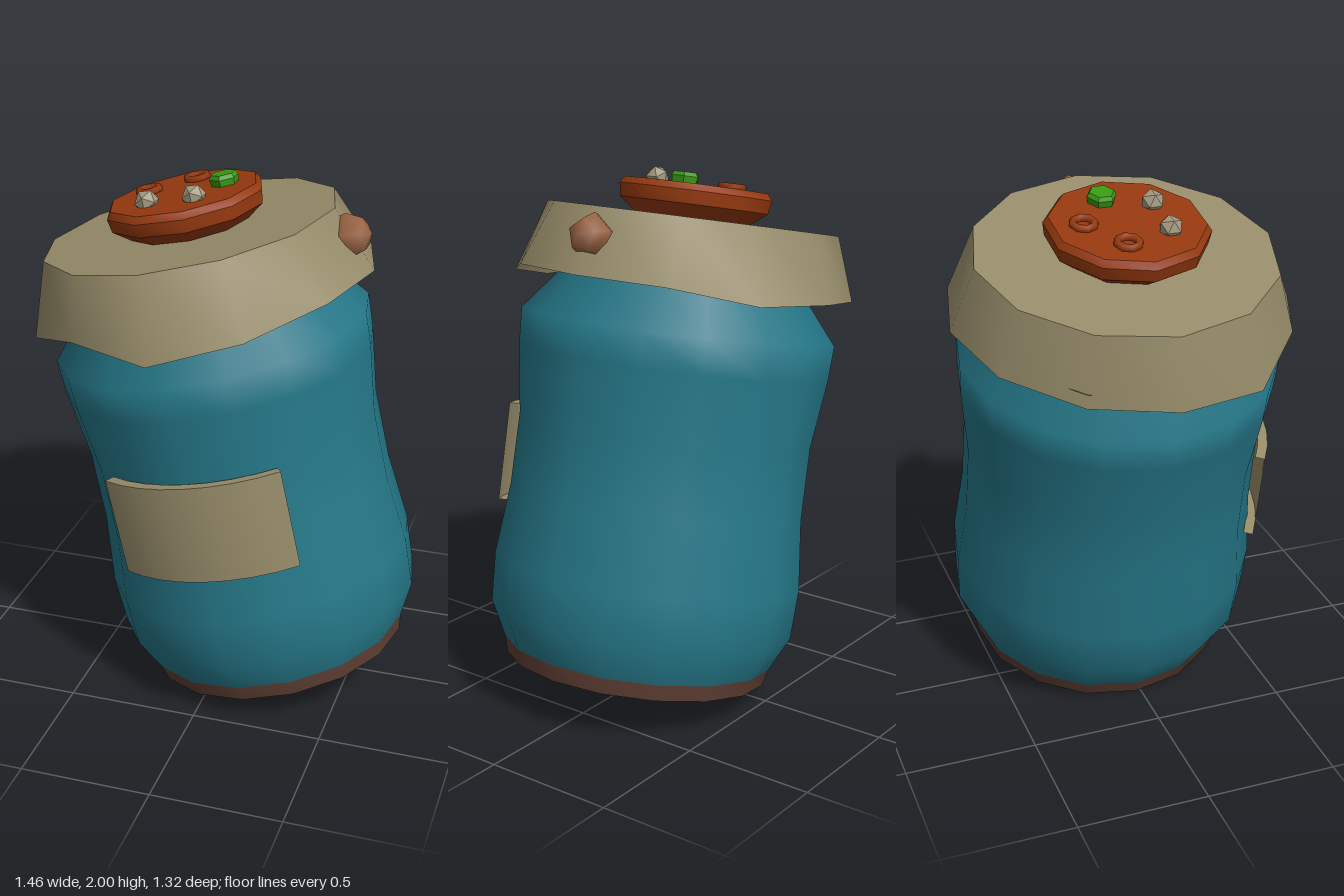
import * as THREE from 'three';
import { toCreasedNormals } from 'three/addons/utils/BufferGeometryUtils.js';

const mat = (name, color, side = THREE.FrontSide) => {
  const m = new THREE.MeshStandardMaterial({ color, side });
  m.name = name;
  return m;
};

// Lathe from [radius, height] pairs, listed bottom to top
const lathe = (pts, sides, start = 0, length = Math.PI * 2) =>
  new THREE.LatheGeometry(pts.map(([r, y]) => new THREE.Vector2(r, y)), sides, start, length);

export function createModel() {
  const teal = mat('teal glaze', 0x257788);
  const tan = mat('tan', 0x978c6a, THREE.DoubleSide);
  const brown = mat('dark brown', 0x5f3f34, THREE.DoubleSide);
  const rust = mat('rust orange', 0x96390f);
  const green = mat('green', 0x3a9a14);
  const stone = mat('pale stone', 0xa2987e);
  const copper = mat('copper brown', 0x9c6546);

  const model = new THREE.Group();
  model.name = 'tiltedJar';
  // Everything is built upright, then leans as one
  const jar = new THREE.Group();
  jar.name = 'jar';
  jar.position.set(0.195, 0.105, -0.02);
  jar.rotation.z = THREE.MathUtils.degToRad(12);
  model.add(jar);

  const add = (name, geometry, material, x = 0, y = 0, z = 0) => {
    const mesh = new THREE.Mesh(geometry, material);
    mesh.name = name;
    mesh.position.set(x, y, z);
    jar.add(mesh);
    return mesh;
  };

  // Pot: foot and waisted body
  add('base', toCreasedNormals(lathe([[0, 0], [0.505, 0], [0.522, 0.065]], 16), 0.7), brown);
  add('body', lathe([[0.52, 0.06], [0.588, 0.2], [0.596, 0.388], [0.567, 0.66], [0.564, 0.935],
    [0.596, 1.2], [0.602, 1.33], [0.472, 1.488], [0.46, 1.62]], 16), teal);

  // Curved label plate on the front
  const arc = 0.595;
  add('label', toCreasedNormals(lathe([[0.57, 0.572], [0.608, 0.572], [0.608, 0.95], [0.57, 0.95]],
    8, -arc, arc * 2), 0.7), tan);

  // Lid with an uneven lower rim, starting at the front and going round by its left
  const rimRadius = [0.675, 0.65, 0.66, 0.66, 0.66, 0.65, 0.64, 0.64, 0.62, 0.636, 0.653, 0.63];
  const rimHeight = [1.445, 1.46, 1.495, 1.49, 1.49, 1.46, 1.488, 1.5, 1.48, 1.48, 1.464, 1.512];
  const lid = lathe([[0.65, 1.48], [0.557, 1.737], [0, 1.737]], 12);
  for (let i = 0; i <= 12; i++) {
    const a = i * Math.PI / 6, r = rimRadius[i % 12];
    lid.attributes.position.setXYZ(i * 3, Math.sin(a) * r, rimHeight[i % 12], Math.cos(a) * r);
  }
  add('lid', toCreasedNormals(lid, 0.7), tan);
  add('lidUnderside', lathe([[0.45, 1.56], [0.61, 1.53]], 12), brown);

  // Knob on the side of the lid
  const knob = add('lidKnob', new THREE.SphereGeometry(0.085, 5, 4), copper, 0.59, 1.63, 0);
  knob.rotation.set(0, 0, -Math.PI / 2);

  // Round seal on top
  add('seal', toCreasedNormals(lathe([[0.22, 1.73], [0.292, 1.785], [0.3, 1.835],
    [0.282, 1.86], [0, 1.86]], 10).rotateY(Math.PI / 10), 0.7), rust);

  // Small ornaments on the seal
  for (const [x, z] of [[-0.155, -0.055], [0, -0.165]]) {
    const ring = add('sealRing', new THREE.TorusGeometry(0.04, 0.015, 6, 8), rust, x, 1.868, z);
    ring.rotation.x = -Math.PI / 2;
  }
  for (const [x, z] of [[-0.098, 0.122], [0.086, 0.122]]) {
    add('sealStone', new THREE.IcosahedronGeometry(0.046, 0), stone, x, 1.872, z);
  }
  add('greenGem', toCreasedNormals(lathe([[0.05, 1.855], [0.056, 1.885], [0.046, 1.9], [0, 1.9]], 6), 0.5),
    green, 0.147, 0, -0.05);

  return model;
}
